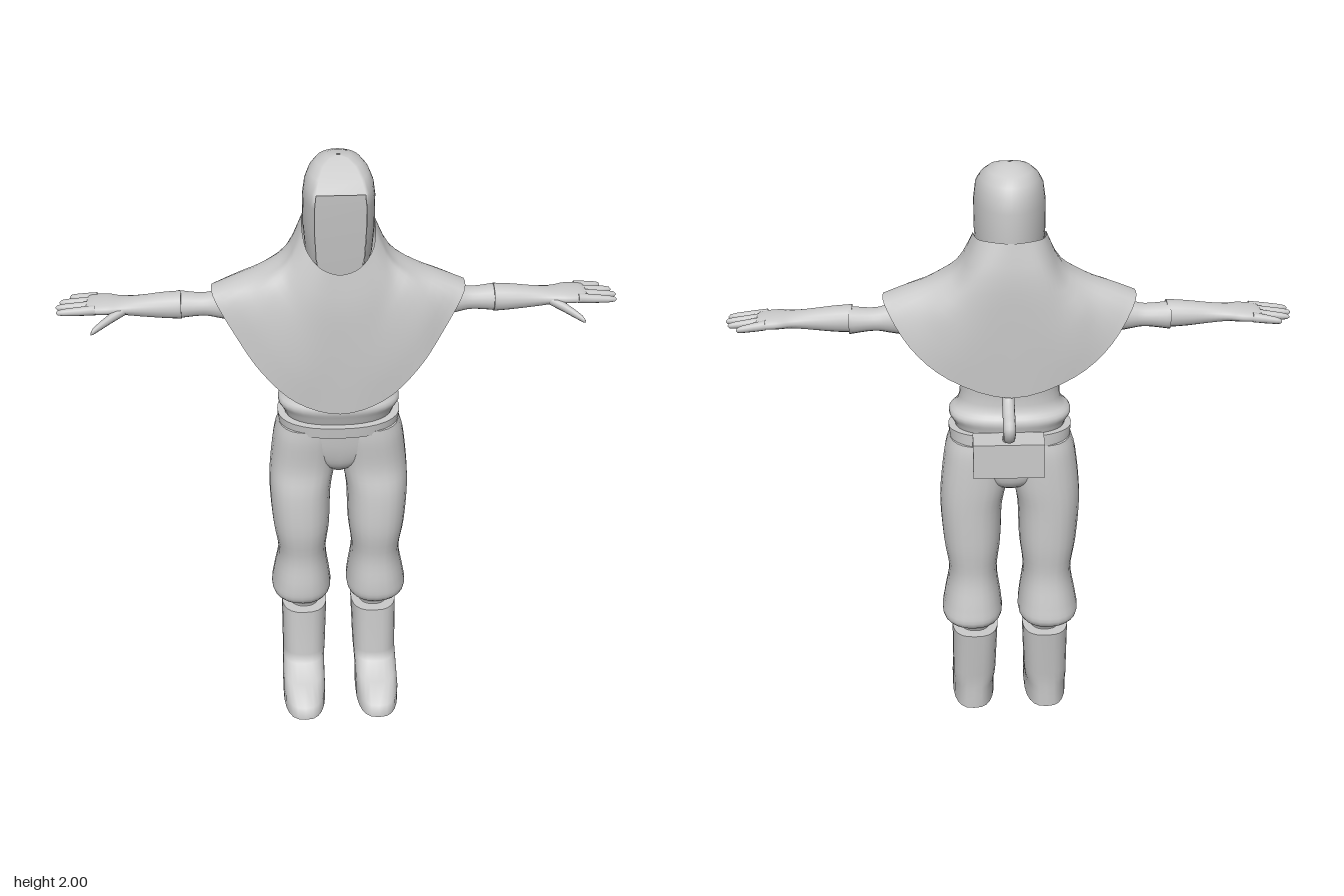
import * as THREE from 'three';

const grey = new THREE.MeshStandardMaterial({ color: 0xcccccc });
const greyThin = new THREE.MeshStandardMaterial({ color: 0xcccccc, side: THREE.DoubleSide });
const V = (x, y, z) => new THREE.Vector3(x, y, z);

// Skin over rings of points; the first openRows rows leave the seam quad out.
function loft(rings, { caps = true, openRows = 0 } = {}) {
  const n = rings[0].length, pos = [], index = [];
  rings.flat().forEach(p => pos.push(p.x, p.y, p.z));
  for (let i = 0; i < rings.length - 1; i++) {
    for (let j = 0; j < n; j++) {
      if (j === n - 1 && i < openRows) continue;
      const a = i * n + j, b = i * n + (j + 1) % n;
      index.push(a, b, b + n, a, b + n, a + n);
    }
  }
  if (caps) {
    [rings[0], rings.at(-1)].forEach((ring, end) => {
      const base = pos.length / 3, mid = V(0, 0, 0);
      ring.forEach(p => { pos.push(p.x, p.y, p.z); mid.addScaledVector(p, 1 / n); });
      pos.push(mid.x, mid.y, mid.z);
      for (let j = 0; j < n; j++) {
        const a = base + j, b = base + (j + 1) % n;
        index.push(base + n, ...(end ? [a, b] : [b, a]));
      }
    });
  }
  const geo = new THREE.BufferGeometry();
  geo.setAttribute('position', new THREE.Float32BufferAttribute(pos, 3));
  geo.setIndex(index);
  geo.computeVertexNormals();
  return geo;
}

// Adds in-between sections along a Catmull-Rom curve.
function refine(rows, steps = 4) {
  const out = [], at = i => rows[Math.min(Math.max(i, 0), rows.length - 1)];
  for (let i = 0; i < rows.length - 1; i++) {
    for (let s = 0; s < steps; s++) {
      const t = s / steps;
      out.push(rows[i].map((b, k) => {
        const a = at(i - 1)[k], c = at(i + 1)[k], d = at(i + 2)[k];
        return b + 0.5 * t * (c - a + t * (2 * a - 5 * b + 4 * c - d + t * (3 * (b - c) + d - a)));
      }));
    }
  }
  out.push(rows.at(-1));
  return out;
}

// Rounded section; power below 1 makes it squarer.
function oval(n, power, place) {
  const soft = v => Math.sign(v) * Math.abs(v) ** power;
  return Array.from({ length: n }, (_, j) => {
    const t = j / n * Math.PI * 2;
    return place(0.5 + soft(Math.sin(t)) / 2, 0.5 + soft(Math.cos(t)) / 2);
  });
}
const mix = THREE.MathUtils.lerp;
// Rows are [y, xMin, xMax, zBack, zFront], from bottom to top.
const upright = (rows, n = 24, power = 0.85) => loft(rows.map(([y, x0, x1, z0, z1]) =>
  oval(n, power, (u, v) => V(mix(x0, x1, u), y, mix(z0, z1, v)))));
// Rows are [x, yMin, yMax, zBack, zFront], from shoulder to hand.
const sideways = (rows, n = 16, power = 0.9) => loft(rows.map(([x, y0, y1, z0, z1]) =>
  oval(n, power, (u, v) => V(x, mix(y1, y0, u), mix(z0, z1, v)))));

function mirrored(geo) {
  const m = geo.clone().scale(-1, 1, 1), ix = m.index.array;
  for (let i = 0; i < ix.length; i += 3) [ix[i], ix[i + 1]] = [ix[i + 1], ix[i]];
  m.computeVertexNormals();
  return m;
}

export function createModel() {
  const model = new THREE.Group();
  const add = (name, geo, material = grey) => {
    const mesh = new THREE.Mesh(geo, material);
    mesh.name = name;
    model.add(mesh);
    return mesh;
  };
  const pair = (name, geo) => {
    add(name + 'Left', geo);
    add(name + 'Right', mirrored(geo));
  };

  // Torso with the shirt puffed out over the belt
  add('torso', upright(refine([
    [1.09, -0.17, 0.17, -0.12, 0.09], [1.13, -0.185, 0.185, -0.13, 0.105],
    [1.165, -0.2, 0.2, -0.135, 0.115], [1.215, -0.165, 0.165, -0.11, 0.1],
    [1.38, -0.165, 0.165, -0.12, 0.1], [1.53, -0.17, 0.17, -0.12, 0.09],
    [1.62, -0.08, 0.08, -0.09, 0.06]]), 32));
  add('pelvis', upright(refine([
    [0.89, -0.03, 0.03, -0.07, 0.03], [0.93, -0.1, 0.1, -0.125, 0.07],
    [1.0, -0.195, 0.195, -0.14, 0.09], [1.09, -0.195, 0.195, -0.135, 0.1]]), 32));
  // Belt, hanging a little lower in front
  const belt = add('belt', upright([
    [1.067, -0.2, 0.2, -0.15, 0.115], [1.107, -0.203, 0.203, -0.15, 0.118]], 32));
  belt.geometry.translate(0, -1.085, 0).rotateX(0.06).translate(0, 1.09, 0);

  // Baggy trouser legs gathered below the knee
  pair('trouserLeg', upright(refine([
    [0.32, 0.07, 0.175, -0.09, 0.05], [0.35, 0.065, 0.18, -0.1, 0.055],
    [0.39, 0.03, 0.232, -0.152, 0.1], [0.45, 0.032, 0.228, -0.148, 0.107],
    [0.56, 0.045, 0.21, -0.13, 0.1], [0.68, 0.032, 0.226, -0.138, 0.116],
    [0.82, 0.026, 0.235, -0.142, 0.11], [0.92, 0.008, 0.23, -0.144, 0.093],
    [1.03, 0, 0.216, -0.142, 0.1], [1.08, 0.01, 0.2, -0.135, 0.1]])));
  // Boots
  pair('boot', upright([
    [0, 0.055, 0.205, -0.09, 0.27], [0.05, 0.055, 0.205, -0.092, 0.268],
    [0.085, 0.055, 0.204, -0.093, 0.18], [0.115, 0.053, 0.203, -0.095, 0.1],
    [0.15, 0.05, 0.202, -0.1, 0.093], [0.335, 0.043, 0.202, -0.13, 0.087]], 24, 0.75));

  // Sleeves, gloves and fingers
  pair('sleeve', sideways(refine([
    [0.1, 1.42, 1.58, -0.1, 0.06], [0.25, 1.43, 1.56, -0.09, 0.045],
    [0.37, 1.45, 1.543, -0.08, 0.02], [0.43, 1.46, 1.53, -0.075, 0.01],
    [0.51, 1.452, 1.537, -0.085, 0.012]])));
  pair('glove', sideways(refine([
    [0.5, 1.454, 1.54, -0.075, 0.02], [0.56, 1.458, 1.536, -0.075, 0.018],
    [0.63, 1.466, 1.528, -0.072, 0.015], [0.69, 1.476, 1.522, -0.08, 0.018],
    [0.735, 1.48, 1.522, -0.098, 0.026], [0.785, 1.482, 1.518, -0.1, 0.022],
    [0.8, 1.488, 1.512, -0.09, 0.01]])));
  // Each: start z, tip x, tip z
  [[-0.085, 0.86, -0.104], [-0.055, 0.89, -0.068], [-0.024, 0.9, -0.032], [0.008, 0.895, 0.005]]
    .forEach(([z, tipX, tipZ], i) => pair('finger' + (i + 1), sideways([0, 0.4, 0.8, 0.95, 1].map((t, k) => {
      const r = [0.016, 0.014, 0.011, 0.008, 0.002][k], y = mix(1.502, 1.494, t), c = mix(z, tipZ, t);
      return [mix(0.77, tipX, t), y - r, y + r, c - r, c + r];
    }), 10)));
  pair('thumb', sideways([
    [0.675, 1.48, 1.51, -0.03, 0.015], [0.715, 1.468, 1.5, 0, 0.042],
    [0.75, 1.458, 1.485, 0.035, 0.068], [0.775, 1.452, 1.472, 0.064, 0.088],
    [0.783, 1.455, 1.462, 0.084, 0.092]], 10));

  // Cape: half its columns from front to back, each from collar to hem
  const half = [
    [0, 1.66, 0.125, 0, 1.55, 0.135, 0, 1.43, 0.135, 0, 1.3, 0.132, 0, 1.165, 0.127],
    [0.06, 1.68, 0.12, 0.09, 1.57, 0.13, 0.1, 1.45, 0.134, 0.12, 1.32, 0.133, 0.14, 1.21, 0.125],
    [0.1, 1.72, 0.085, 0.15, 1.62, 0.095, 0.18, 1.54, 0.11, 0.22, 1.43, 0.115, 0.25, 1.315, 0.11],
    [0.112, 1.75, 0.04, 0.165, 1.66, 0.055, 0.23, 1.605, 0.075, 0.29, 1.53, 0.085, 0.33, 1.435, 0.08],
    [0.114, 1.77, 0, 0.165, 1.67, 0.015, 0.24, 1.622, 0.03, 0.32, 1.588, 0.04, 0.397, 1.555, 0.04],
    [0.113, 1.78, -0.05, 0.165, 1.675, -0.06, 0.24, 1.622, -0.065, 0.32, 1.588, -0.065, 0.397, 1.555, -0.06],
    [0.1, 1.785, -0.11, 0.15, 1.66, -0.13, 0.22, 1.57, -0.142, 0.27, 1.5, -0.135, 0.32, 1.435, -0.125],
    [0.06, 1.79, -0.15, 0.1, 1.68, -0.172, 0.14, 1.53, -0.177, 0.18, 1.42, -0.172, 0.2, 1.34, -0.165],
    [0, 1.79, -0.167, 0, 1.68, -0.185, 0, 1.55, -0.185, 0, 1.4, -0.18, 0, 1.275, -0.175]];
  const columns = half.map(c => new THREE.CatmullRomCurve3(
    [0, 3, 6, 9, 12].map(k => V(c[k], c[k + 1], c[k + 2]))).getPoints(12).reverse());
  const capeRings = columns[0].map((_, i) => {
    const row = columns.map(c => c[i]);
    const other = row.slice(1, -1).reverse().map(p => V(-p.x, p.y, p.z));
    return new THREE.CatmullRomCurve3([...row, ...other], true).getPoints(64).slice(0, 64);
  });
  add('cape', loft(capeRings, { caps: false }), greyThin);

  // Hood: rows are [y, half width, zBack, zFront], open over the face
  const edge = 0.78;
  const hoodRings = [
    [1.64, 0.088, -0.14, 0.098], [1.7, 0.105, -0.155, 0.107], [1.79, 0.112, -0.163, 0.119],
    [1.88, 0.112, -0.165, 0.13], [1.925, 0.106, -0.158, 0.134], [1.955, 0.092, -0.14, 0.09],
    [1.98, 0.07, -0.11, 0.045], [1.995, 0.038, -0.065, 0.012], [2, 0.006, -0.015, -0.005]]
    .map(([y, w, zb, zf]) => {
      const depth = (zf - zb) / (1 + Math.cos(edge));
      return Array.from({ length: 33 }, (_, j) => {
        const t = mix(edge, Math.PI * 2 - edge, j / 32);
        return V(w * Math.sin(t), y, zb + depth * (1 + Math.cos(t)));
      });
    });
  add('hood', loft(hoodRings, { caps: false, openRows: 4 }), greyThin);
  // Flat mask set just inside the opening
  const maskRings = hoodRings.slice(0, 5).map(r => [r.at(-1), r[0]].map(p => V(p.x, p.y, p.z - 0.01)));
  add('faceMask', loft(maskRings, { caps: false, openRows: 9 }), greyThin);

  // Pack on the back of the belt, with its hose running up under the cape
  add('beltPack', new THREE.BoxGeometry(0.23, 0.12, 0.09).translate(0.01, 1.07, -0.175));
  const hosePath = new THREE.CatmullRomCurve3([
    V(0.01, 1.44, -0.1), V(0.01, 1.34, -0.125), V(0.01, 1.26, -0.15), V(0.01, 1.225, -0.2),
    V(0.01, 1.2, -0.245), V(0.01, 1.165, -0.23), V(0.01, 1.15, -0.195), V(0.01, 1.11, -0.175)]);
  add('hose', new THREE.TubeGeometry(hosePath, 48, 0.02, 12));
  return model;
}
